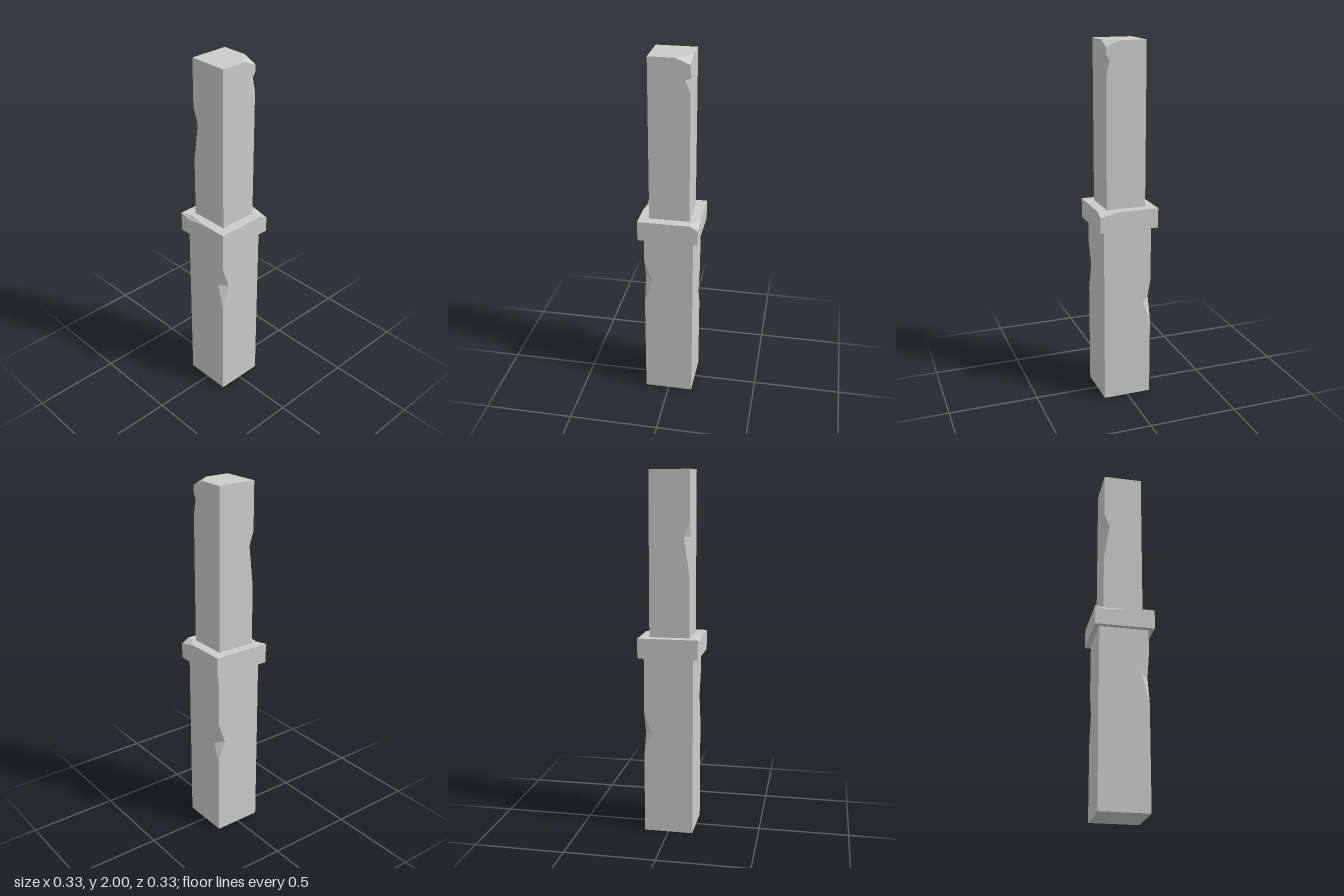
import * as THREE from 'three';

const V = (x, y, z) => new THREE.Vector3(x, y, z);
const AXES = ['x', 'y', 'z'];

// A square block whose faces are outlines that chips can bite into
class ChippedBlock {
  constructor(half, y0, y1) {
    this.half = half;
    this.positions = [];
    const lo = V(-half, y0, -half), hi = V(half, y1, half);
    this.faces = [];
    AXES.forEach((axis, k) => {
      const u = AXES[(k + 1) % 3], v = AXES[(k + 2) % 3];
      for (const sign of [-1, 1]) {
        const level = (sign < 0 ? lo : hi)[axis];
        const loop = [[lo, lo], [hi, lo], [hi, hi], [lo, hi]].map(([a, b]) => {
          const p = V(0, 0, 0);
          p[axis] = level; p[u] = a[u]; p[v] = b[v];
          return p;
        });
        this.faces.push({ axis, u, v, sign, level, loop });
      }
    });
  }

  // The outline that lies in the same plane as all the given points
  loopWith(pts) {
    return this.faces.find(f => pts.every(p => Math.abs(p[f.axis] - f.level) < 1e-6)).loop;
  }

  // Triangle wound so that it faces the point "toward"
  tri(a, b, c, toward) {
    const n = b.clone().sub(a).cross(c.clone().sub(a));
    const order = n.dot(toward.clone().sub(a)) > 0 ? [a, b, c] : [a, c, b];
    order.forEach(p => this.positions.push(p.x, p.y, p.z));
  }

  // Detour in an outline, between two points of one of its sides
  detour(pts) {
    const loop = this.loopWith(pts), first = pts[0], last = pts[pts.length - 1];
    const i = loop.findIndex((p, k) => {
      const q = loop[(k + 1) % loop.length];
      return [first, last].every(m => p.distanceTo(m) + m.distanceTo(q) - p.distanceTo(q) < 1e-6);
    });
    const forward = loop[i].distanceTo(first) < loop[i].distanceTo(last);
    loop.splice(i + 1, 0, ...(forward ? pts : [...pts].reverse()));
  }

  // Wedge nick along an edge from a to b, as deep as p and q on the two faces
  nick(a, b, p, q) {
    this.detour([a, p, b]);
    this.detour([a, q, b]);
    this.tri(a, p, q, b);
    this.tri(b, p, q, a);
    return this;
  }

  // Nick on a vertical edge, given by the signs of x and z
  sideNick(sx, sz, top, mid, bottom, dx, dz, tilt = 0.01) {
    const x = sx * this.half, z = sz * this.half;
    return this.nick(V(x, top, z), V(x, bottom, z), V(x - sx * dx, mid, z), V(x, mid + tilt, z - sz * dz));
  }

  // Broken corner: "rim" runs over the top face, "drop" is the point below the corner
  breakCorner(corner, rim, drop) {
    const ends = [rim[0], rim[rim.length - 1]];
    for (const pts of [rim, [ends[0], drop], [ends[1], drop]]) {
      const loop = this.loopWith(pts);
      const i = loop.findIndex(p => p.distanceTo(corner) < 1e-6);
      const prev = loop[(i + loop.length - 1) % loop.length];
      // keep the outline running in its own direction
      const towardPrev = m => m.clone().sub(corner).dot(prev.clone().sub(corner));
      const forward = towardPrev(pts[0]) > towardPrev(pts[pts.length - 1]);
      loop.splice(i, 1, ...(forward ? pts : [...pts].reverse()));
    }
    for (let k = 0; k + 1 < rim.length; k++) this.tri(rim[k], rim[k + 1], drop, corner);
    return this;
  }

  mesh(name) {
    for (const { axis, u, v, sign, loop } of this.faces) {
      const flat = loop.map(p => new THREE.Vector2(p[u], p[v]));
      for (const [a, b, c] of THREE.ShapeUtils.triangulateShape(flat, [])) {
        const toward = loop[a].clone();
        toward[axis] += sign;
        this.tri(loop[a], loop[b], loop[c], toward);
      }
    }
    const geometry = new THREE.BufferGeometry();
    geometry.setAttribute('position', new THREE.Float32BufferAttribute(this.positions, 3));
    geometry.computeVertexNormals();
    const mesh = new THREE.Mesh(geometry, new THREE.MeshStandardMaterial({ color: 0xcccccc, flatShading: true }));
    mesh.name = name;
    return mesh;
  }
}

export function createModel() {
  const group = new THREE.Group();
  group.name = 'post';

  // Thick lower shaft with two nicked edges
  const lower = new ChippedBlock(0.136, 0, 1)
    .sideNick(-1, 1, 0.86, 0.733, 0.58, 0.043, 0.04)
    .sideNick(1, -1, 0.69, 0.575, 0.45, 0.04, 0.045, -0.015);

  // Collar with a broken front corner and a nick in its right top edge
  const c = 0.165, ct = 1.11;
  const collar = new ChippedBlock(c, 1, ct)
    .breakCorner(V(c, ct, c), [V(0.12, ct, c), V(0.127, ct, 0.127), V(c, ct, 0.057)], V(c, 1.085, c))
    .nick(V(-c, ct, -0.162), V(-c, ct, 0.015), V(-0.143, ct, -0.105), V(-c, 1.09, -0.105));

  // Slim upper shaft with a broken top corner and two nicked edges
  const s = 0.11;
  const upper = new ChippedBlock(s, ct, 2)
    .breakCorner(V(s, 2, s), [V(0.031, 2, s), V(s, 2, 0.034)], V(s, 1.967, s))
    .sideNick(1, 1, 1.93, 1.89, 1.82, 0.028, 0.018, 0.005)
    .sideNick(-1, -1, 1.74, 1.65, 1.44, 0.031, 0.031, 0);

  group.add(lower.mesh('lowerShaft'), collar.mesh('collar'), upper.mesh('upperShaft'));
  return group;
}
